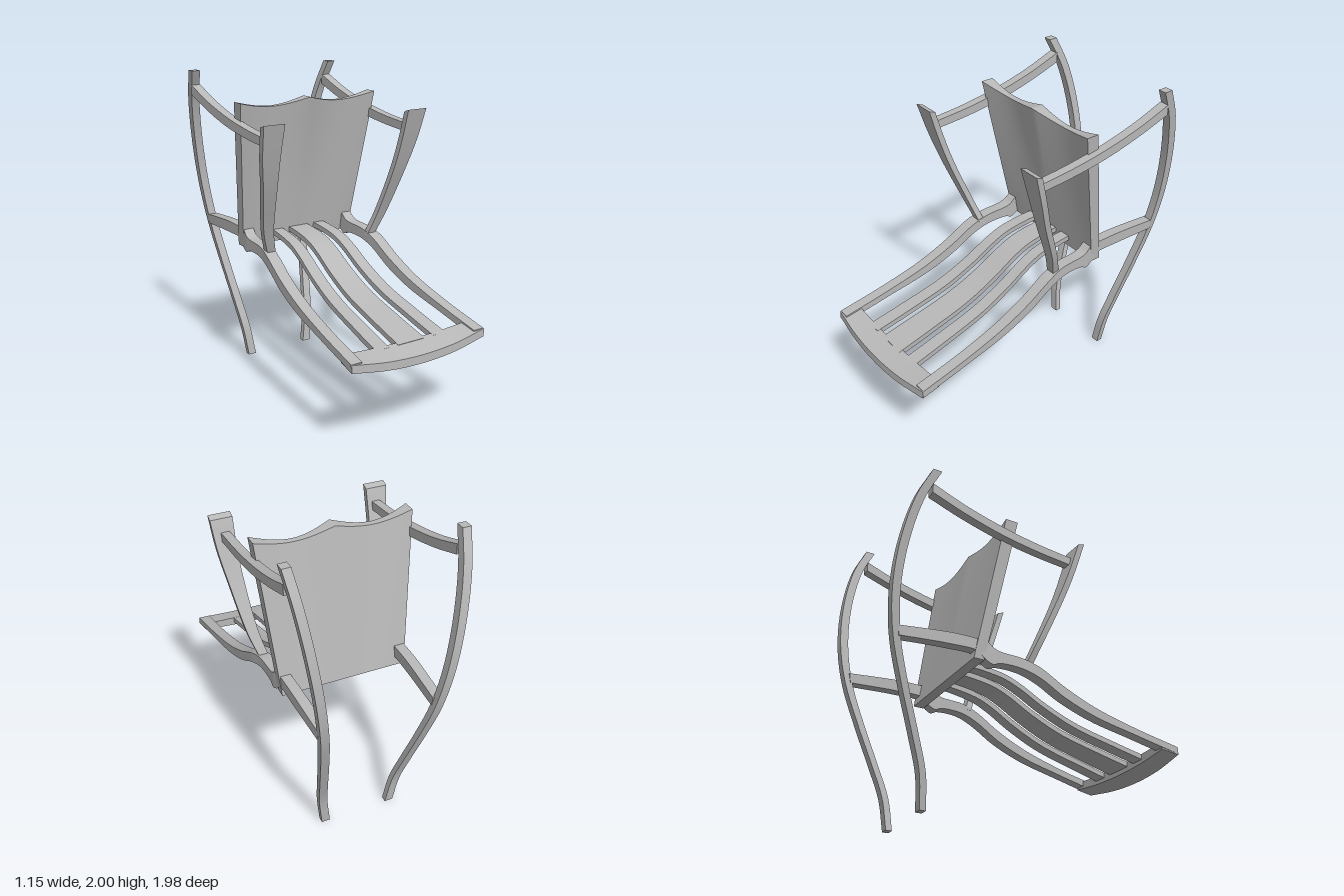
import * as THREE from 'three';

const wood = new THREE.MeshStandardMaterial({ color: 0xb8b8b8 });
wood.name = 'plain grey';

// Four-sided bar through rings of four corners; sharp long edges, smooth along its length
function sweep(rings, steps) {
  const rails = [0, 1, 2, 3].map((k) => new THREE.CatmullRomCurve3(rings.map((r) => r[k])));
  const path = rails.map((c) => Array.from({ length: steps + 1 }, (_, i) => c.getPoint(i / steps)));
  const pos = [];
  const index = [];
  for (let k = 0; k < 4; k++) {
    const base = pos.length / 3;
    for (let i = 0; i <= steps; i++) {
      pos.push(...path[k][i].toArray(), ...path[(k + 1) % 4][i].toArray());
      if (i < steps) {
        const a = base + i * 2;
        index.push(a, a + 1, a + 3, a, a + 3, a + 2);
      }
    }
  }
  // End caps
  for (const end of [0, steps]) {
    const b = pos.length / 3;
    for (let k = 0; k < 4; k++) pos.push(...path[k][end].toArray());
    index.push(...(end === 0 ? [b, b + 2, b + 1, b, b + 3, b + 2] : [b, b + 1, b + 2, b, b + 2, b + 3]));
  }
  // Turn all faces outward when the enclosed volume comes out negative
  let volume = 0;
  const at = (i) => new THREE.Vector3().fromArray(pos, i * 3);
  for (let i = 0; i < index.length; i += 3) {
    volume += at(index[i]).dot(at(index[i + 1]).cross(at(index[i + 2])));
  }
  if (volume < 0) index.reverse();
  const geo = new THREE.BufferGeometry();
  geo.setAttribute('position', new THREE.Float32BufferAttribute(pos, 3));
  geo.setIndex(index);
  geo.computeVertexNormals();
  return geo;
}

// Each station: inner x, outer x, then y and z of one edge, y and z of the other
function bar(stations, side = 1, steps = 40) {
  return sweep(stations.map(([x0, x1, ya, za, yb, zb]) => [
    new THREE.Vector3(side * x0, ya, za),
    new THREE.Vector3(side * x1, ya, za),
    new THREE.Vector3(side * x1, yb, zb),
    new THREE.Vector3(side * x0, yb, zb),
  ]), steps);
}

// Scooped panel with a double-dipped upper edge
function panelGeometry() {
  const geo = new THREE.BoxGeometry(2, 1, 1, 32, 16, 1);
  const p = geo.attributes.position;
  const lerp = THREE.MathUtils.lerp;
  for (let i = 0; i < p.count; i++) {
    const u = p.getX(i);
    const v = p.getY(i) + 0.5;
    const dip = Math.abs(Math.sin(Math.PI * u));
    const front = p.getZ(i) > 0;
    const z = front
      ? lerp(-0.39, -0.212, v) - 0.042 * dip * Math.pow(v, 1.5) - 0.012 * Math.sin(Math.PI * v) * (1 - u * u)
      : lerp(-0.457, -0.295, v);
    p.setXYZ(i, u * lerp(0.405, 0.492, v), lerp(0.9, 1.86 - 0.042 * dip, v), z);
  }
  geo.computeVertexNormals();
  return geo;
}

export function createModel() {
  const group = new THREE.Group();
  const add = (name, geo) => {
    const mesh = new THREE.Mesh(geo, wood);
    mesh.name = name;
    group.add(mesh);
  };

  // Long bowed legs: y, front z, back z; x leans outward with height
  const leg = [
    [0, -0.65, -0.688], [0.2, -0.672, -0.712], [0.4, -0.737, -0.778], [0.65, -0.825, -0.868],
    [0.93, -0.908, -0.955], [1.2, -0.94, -0.99], [1.5, -0.922, -0.975], [1.8, -0.855, -0.91],
    [2, -0.765, -0.822],
  ].map(([y, zf, zb]) => [0.196 + 0.146 * y, 0.25 + 0.146 * y, y, zf, y, zb]);

  // Side rails: inner x, outer x, top y, z, bottom y, z
  const rail = [
    [0.4, 0.472, 0.605, 0.95, 0.56, 0.95],
    [0.39, 0.46, 0.67, 0.64, 0.625, 0.64],
    [0.376, 0.448, 0.75, 0.35, 0.69, 0.35],
    [0.365, 0.44, 0.84, 0.14, 0.77, 0.14],
    [0.355, 0.432, 0.93, -0.02, 0.86, -0.02],
    [0.347, 0.42, 0.967, -0.13, 0.9, -0.14],
    [0.343, 0.415, 0.977, -0.29, 0.9, -0.29],
    [0.343, 0.415, 0.99, -0.33, 0.882, -0.335],
    [0.343, 0.41, 1.025, -0.375, 0.91, -0.39],
    [0.343, 0.408, 1.027, -0.43, 0.948, -0.43],
    [0.34, 0.405, 1.024, -0.6, 0.95, -0.6],
    [0.33, 0.392, 0.99, -0.93, 0.928, -0.92],
  ];

  // Flaring uprights that carry the arms
  const post = [
    [0.348, 0.405, 0.935, -0.07, 0.935, -0.112],
    [0.39, 0.46, 1.1, -0.012, 1.1, -0.052],
    [0.425, 0.52, 1.4, 0.103, 1.4, 0.063],
    [0.437, 0.557, 1.6, 0.168, 1.6, 0.128],
    [0.438, 0.577, 1.8, 0.226, 1.785, 0.183],
  ];

  // Arms
  const arm = [
    [0.468, 0.522, 1.705, 0.16, 1.652, 0.16],
    [0.468, 0.524, 1.728, -0.1, 1.672, -0.1],
    [0.468, 0.526, 1.768, -0.35, 1.708, -0.35],
    [0.468, 0.528, 1.83, -0.6, 1.77, -0.6],
    [0.468, 0.53, 1.905, -0.815, 1.84, -0.815],
  ];

  // Curved slats share one profile: z, top y
  const slatLine = [
    [0.87, 0.602], [0.64, 0.655], [0.35, 0.73], [0.14, 0.82],
    [-0.02, 0.908], [-0.13, 0.953], [-0.3, 0.98], [-0.41, 0.985],
  ];
  const slat = (frontX0, frontX1, backX0, backX1) => slatLine.map(([z, y]) => {
    const t = (0.87 - z) / 1.28;
    const mix = THREE.MathUtils.lerp;
    return [mix(frontX0, backX0, t), mix(frontX1, backX1, t), y, z, y - 0.032, z - 0.008];
  });

  for (const [label, side] of [['left', 1], ['right', -1]]) {
    add(label + 'Leg', bar(leg, side));
    add(label + 'SideRail', bar(rail, side, 66));
    add(label + 'ArmPost', bar(post, side));
    add(label + 'Arm', bar(arm, side));
    add(label + 'Slat', bar(slat(0.158, 0.25, 0.12, 0.193), side));
  }
  add('centreSlat', bar(slat(-0.095, 0.095, -0.068, 0.068)));

  // Bowed cross rail at the end of the slats
  const rings = [-1, -0.5, 0, 0.5, 1].map((u) => {
    const bow = 1 - u * u;
    const x = 0.472 * u;
    return [
      new THREE.Vector3(x, 0.603 - 0.037 * bow, 0.955 + 0.033 * bow),
      new THREE.Vector3(x, 0.555 - 0.04 * bow, 0.957 + 0.033 * bow),
      new THREE.Vector3(x * 0.98, 0.572 - 0.03 * bow, 0.838 + 0.01 * bow),
      new THREE.Vector3(x * 0.98, 0.62 - 0.015 * bow, 0.838 + 0.01 * bow),
    ];
  });
  add('crossRail', sweep(rings, 24));

  add('scoopedPanel', panelGeometry());
  return group;
}
